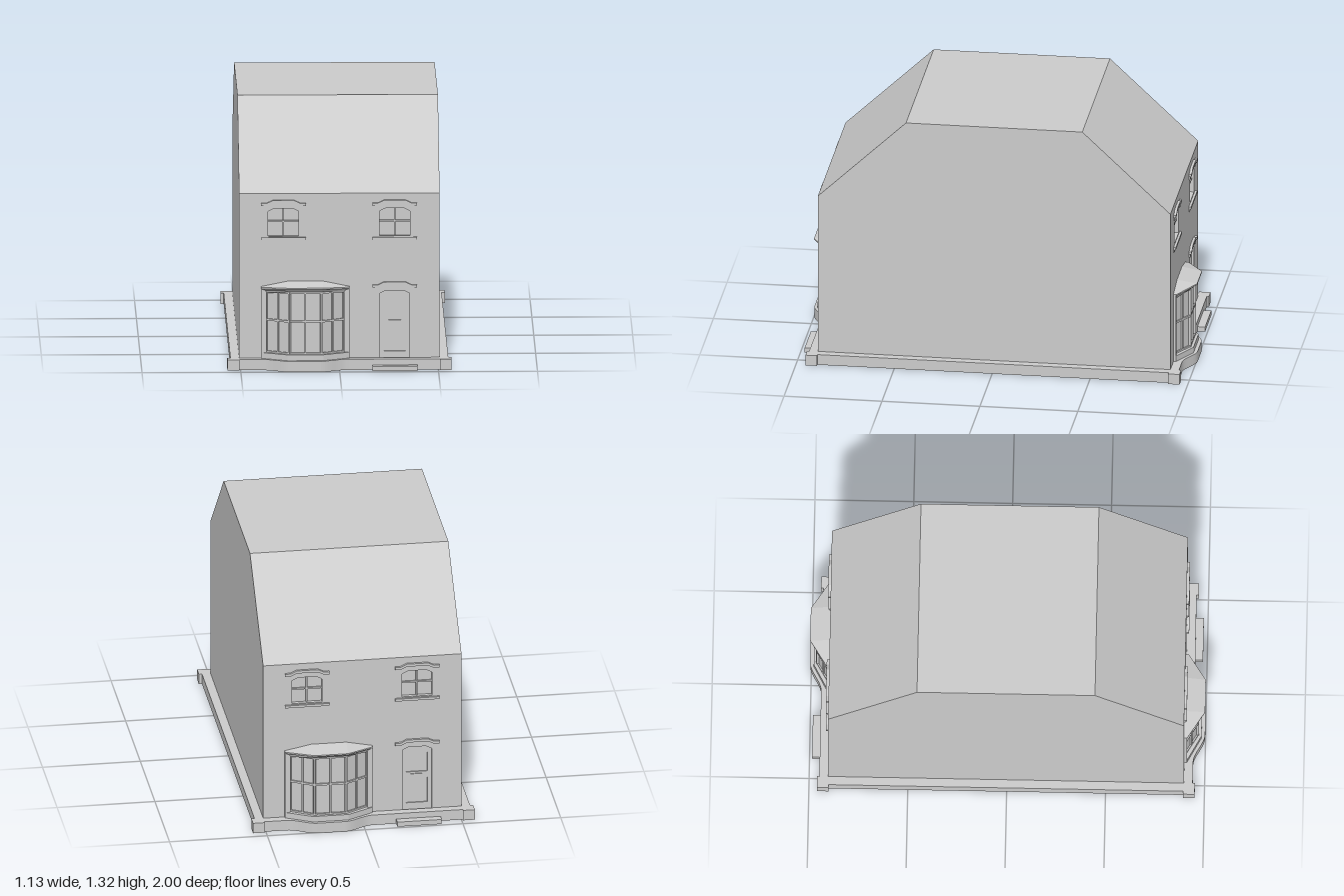
import * as THREE from 'three';

const mat = new THREE.MeshStandardMaterial({ color: 0xcccccc, flatShading: true, side: THREE.DoubleSide });

function add(parent, name, geo, x = 0, y = 0, z = 0) {
  const m = new THREE.Mesh(geo, mat);
  m.name = name;
  m.position.set(x, y, z);
  parent.add(m);
  return m;
}

// box given by its limits on each axis
function block(parent, name, x0, x1, y0, y1, z0, z1) {
  return add(parent, name, new THREE.BoxGeometry(x1 - x0, y1 - y0, z1 - z0),
    (x0 + x1) / 2, (y0 + y1) / 2, (z0 + z1) / 2);
}

const toShape = (pts) => new THREE.Shape(pts.map(([x, y]) => new THREE.Vector2(x, y)));
const extrude = (shape, depth) => new THREE.ExtrudeGeometry(shape, { depth, bevelEnabled: false });
// plan outline (x, z) raised by h
const slab = (pts, h) => extrude(toShape(pts.map(([x, z]) => [x, -z])), h).rotateX(-Math.PI / 2);

// surface through rows of points
function loft(rows) {
  const v = [];
  for (let r = 0; r < rows.length - 1; r++) {
    for (let i = 0; i < rows[r].length - 1; i++) {
      const a = rows[r][i], b = rows[r][i + 1], c = rows[r + 1][i + 1], d = rows[r + 1][i];
      v.push(...a, ...b, ...c, ...a, ...c, ...d);
    }
  }
  const g = new THREE.BufferGeometry();
  g.setAttribute('position', new THREE.Float32BufferAttribute(v, 3));
  g.computeVertexNormals();
  return g;
}

const W = 0.507, EAVE = 0.9, OPEN = 0.085, BAY = -0.173;

// shallow raised-centre line used by every lintel and opening
function archLine(cx, hw, y, rise = 0.015) {
  const line = [[cx - 0.085, y], [cx - 0.054, y + rise], [cx + 0.054, y + rise], [cx + 0.085, y]];
  return hw > 0.086 ? [[cx - hw, y], ...line, [cx + hw, y]] : line;
}
const opening = (cx, y0, y1) => [[cx - OPEN, y0], ...archLine(cx, OPEN, y1), [cx + OPEN, y0]];
const inset = (pts, cx, cy, t) => pts.map(([x, y]) => [x - Math.sign(x - cx) * t, y - Math.sign(y - cy) * t]);

// moulded head over a door or window; y is the top of the opening at its sides
function lintel(parent, cx, y) {
  const band = (hw, a, b) => toShape([...archLine(cx, hw, a), ...archLine(cx, hw, b).reverse()]);
  add(parent, 'lintelBand', extrude(band(0.1, y, y + 0.022), 0.006));
  add(parent, 'lintelCap', extrude(band(0.1135, y + 0.021, y + 0.035), 0.013));
}

// frame lining an opening
function lining(parent, name, cx, y0, y1, t, depth) {
  const outer = opening(cx, y0, y1);
  const s = toShape(outer);
  s.holes.push(toShape(inset(outer, cx, (y0 + y1) / 2, t)));
  add(parent, name, extrude(s, depth), 0, 0, -depth);
}

function sashWindow(parent, cx) {
  const g = new THREE.Group();
  g.name = 'upperWindow';
  parent.add(g);
  lining(g, 'windowFrame', cx, 0.673, 0.816, 0.008, 0.022);
  add(g, 'windowPane', new THREE.ShapeGeometry(toShape(opening(cx, 0.673, 0.816))), 0, 0, -0.02);
  block(g, 'verticalBar', cx - 0.004, cx + 0.004, 0.673, 0.831, -0.02, -0.012);
  block(g, 'crossBar', cx - OPEN, cx + OPEN, 0.752, 0.76, -0.02, -0.01);
  block(g, 'sill', cx - 0.1135, cx + 0.1135, 0.662, 0.675, -0.02, 0.012);
  block(g, 'underSill', cx - 0.1135, cx + 0.1135, 0.648, 0.662, 0, 0.005);
  lintel(g, cx, 0.816);
}

function frontDoor(parent, cx) {
  const g = new THREE.Group();
  g.name = 'door';
  parent.add(g);
  lining(g, 'doorFrame', cx, 0.03, 0.395, 0.01, 0.02);
  // leaf with two sunken panels
  const leaf = toShape(opening(cx, 0.03, 0.395));
  for (const [y0, y1] of [[0.086, 0.222], [0.257, 0.362]]) {
    const p = 0.054;
    leaf.holes.push(toShape([[cx - p, y0], [cx + p, y0], [cx + p, y1], [cx - p, y1]]));
    block(g, 'doorPanel', cx - p, cx + p, y0, y1, -0.022, -0.018);
  }
  add(g, 'doorLeaf', extrude(leaf, 0.01), 0, 0, -0.022);
  block(g, 'letterSlot', cx - 0.032, cx + 0.032, 0.232, 0.247, -0.012, -0.007);
  lintel(g, cx, 0.395);
  block(g, 'doorstep', cx - 0.1135, cx + 0.1135, 0, 0.025, 0.04, 0.083);
}

function bayWindow(parent) {
  const g = new THREE.Group();
  g.name = 'bayWindow';
  g.position.x = BAY;
  parent.add(g);
  // four-point row: end half width, front half width, depth, end height, front height
  const row = (hw, fw, d, ye, yf, ze = 0) => [[-hw, ye, ze], [-fw, yf, d], [fw, yf, d], [hw, ye, ze]];
  add(g, 'baySill', slab([[-0.224, 0], [-0.224, 0.012], [-0.09, 0.084], [0.09, 0.084], [0.224, 0.012], [0.224, 0]], 0.032), 0, 0.053);
  // cornice flaring out, then the lean-to roof
  add(g, 'bayRoof', loft([
    row(0.197, 0.083, 0.062, 0.388, 0.405),
    row(0.205, 0.085, 0.078, 0.39, 0.407, 0.005),
    row(0.212, 0.086, 0.086, 0.404, 0.417, 0.008),
    row(0.224, 0.087, 0.102, 0.413, 0.424, 0.014),
    row(0.224, 0.087, 0.102, 0.42, 0.431, 0.014),
    row(0.224, 0.09, 0, 0.422, 0.449),
  ]));
  for (const s of [-1, 1]) block(g, 'baySurround', s * 0.2105 - 0.0135, s * 0.2105 + 0.0135, 0.055, 0.42, -0.005, 0.013);
  // three glazed faces, two columns and two rows of panes each
  const plan = [[-0.197, 0.003], [-0.083, 0.07], [0.083, 0.07], [0.197, 0.003]];
  for (let i = 0; i < 3; i++) {
    const [ax, az] = plan[i], [bx, bz] = plan[i + 1];
    const len = Math.hypot(bx - ax, bz - az), h = len / 2, f = new THREE.Group();
    f.name = 'bayFace';
    f.position.set((ax + bx) / 2, 0, (az + bz) / 2);
    f.rotation.y = Math.atan2(az - bz, bx - ax);
    g.add(f);
    add(f, 'bayPane', new THREE.PlaneGeometry(len, 0.32), 0, 0.245, -0.008);
    for (const x of [-h, 0, h]) block(f, 'bayUpright', x - 0.004, x + 0.004, 0.085, 0.405, -0.012, 0);
    for (const y of [0.088, 0.253, 0.4]) block(f, 'bayRail', -h, h, y - 0.005, y + 0.005, -0.012, 0);
  }
}

// one end of the house: wall, openings and plinth
function facade() {
  const g = new THREE.Group();
  const wall = toShape([[-W, 0], [W, 0], [W, EAVE], [-W, EAVE]]);
  const holes = [opening(-0.283, 0.673, 0.816), opening(0.28, 0.673, 0.816), opening(0.28, 0.03, 0.395),
    [[BAY - 0.197, 0.06], [BAY + 0.197, 0.06], [BAY + 0.197, 0.388], [BAY + 0.083, 0.405], [BAY - 0.083, 0.405], [BAY - 0.197, 0.388]]];
  for (const h of holes) wall.holes.push(toShape(h));
  add(g, 'endWall', new THREE.ShapeGeometry(wall));
  sashWindow(g, -0.283);
  sashWindow(g, 0.28);
  frontDoor(g, 0.28);
  bayWindow(g);
  // plinth swelling smoothly under the bay
  const edge = [[-W, 0], [-W, 0.044]];
  for (let i = 0; i <= 40; i++) {
    const d = -0.22 + 0.44 * i / 40;
    const t = THREE.MathUtils.smoothstep(0.22 - Math.abs(d), 0, 0.15);
    edge.push([BAY + d, 0.044 + 0.058 * t]);
  }
  edge.push([W, 0.044], [W, 0]);
  add(g, 'endPlinth', slab(edge, 0.055));
  for (const s of [-1, 1]) block(g, 'cornerBlock', s * 0.537 - 0.03, s * 0.537 + 0.03, 0, 0.055, -0.004, 0.055);
  return g;
}

export function createModel() {
  const house = new THREE.Group();
  house.name = 'house';
  const zf = 0.896, zb = -0.904;

  const front = facade();
  front.name = 'frontFacade';
  front.position.z = zf;
  const back = facade();
  back.name = 'backFacade';
  back.position.z = zb;
  back.rotation.y = Math.PI;
  house.add(front, back);

  // roof slopes and flat top
  const roof = [[zf, EAVE], [0.446, 1.323], [-0.454, 1.323], [zb, EAVE]];
  add(house, 'roof', loft(roof.map(([z, y]) => [[-W, y, z], [W, y, z]])));

  // side walls and side plinths
  const gable = toShape([[zf, 0], ...roof, [zb, 0]].map(([z, y]) => [-z, y]));
  for (const s of [-1, 1]) {
    add(house, 'sideWall', new THREE.ShapeGeometry(gable), s * W).rotation.y = Math.PI / 2;
    block(house, 'sidePlinth', s * 0.529 - 0.022, s * 0.529 + 0.022, 0, 0.055, zb, zf);
  }
  return house;
}
